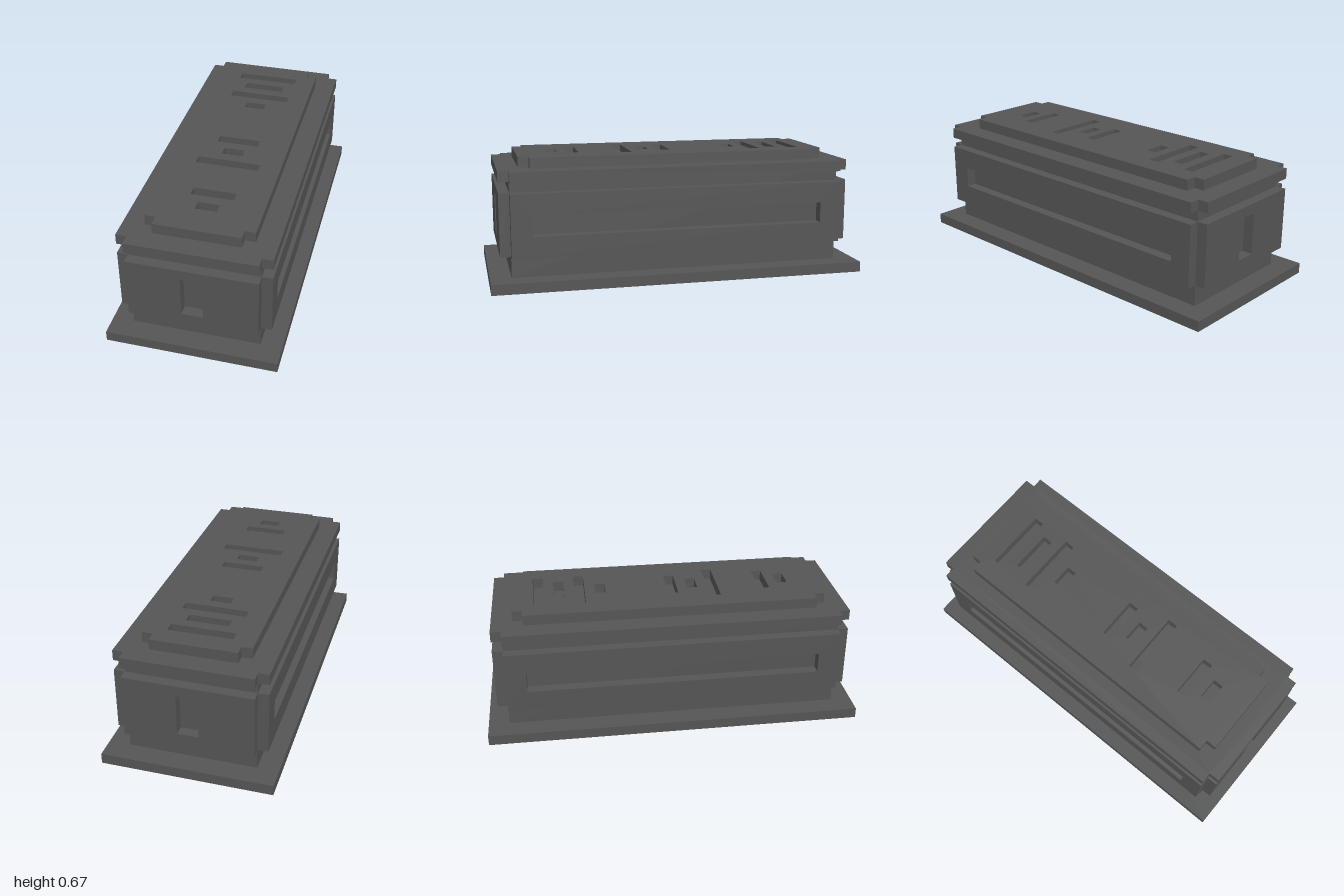
import * as THREE from 'three';

const U = 1 / 18; // one modelling unit; the base is 36 units long

export function createModel() {
  const stone = new THREE.MeshStandardMaterial({ color: 0x555555 });
  stone.name = 'darkStone';
  const group = new THREE.Group();
  group.name = 'sarcophagus';

  const add = (name, geometry, parent = group) => {
    const mesh = new THREE.Mesh(geometry, stone);
    mesh.name = name;
    parent.add(mesh);
    return mesh;
  };

  // Solid block standing on height y
  const block = (name, w, h, d, y) => {
    add(name, new THREE.BoxGeometry(w * U, h * U, d * U)).position.y = (y + h / 2) * U;
  };

  const outline = (points) => points.map(([x, y]) => new THREE.Vector2(x * U, y * U));
  const rect = (x0, y0, x1, y1) => outline([[x0, y0], [x1, y0], [x1, y1], [x0, y1]]);

  // Rectangle of half size a by b with a one-unit notch at each corner
  const notched = (a, b) => outline([
    [-a + 1, -b], [a - 1, -b], [a - 1, -b + 1], [a, -b + 1],
    [a, b - 1], [a - 1, b - 1], [a - 1, b], [-a + 1, b],
    [-a + 1, b - 1], [-a, b - 1], [-a, -b + 1], [-a + 1, -b + 1],
  ]);

  // One-unit-thick plate with cut-through openings
  const plate = (points, holes = []) => {
    const shape = new THREE.Shape(points);
    holes.forEach((h) => shape.holes.push(new THREE.Path(h.slice().reverse())));
    return new THREE.ExtrudeGeometry(shape, { depth: U, bevelEnabled: false });
  };

  // Plinth and body core
  block('base', 16, 1, 36, 0);
  block('body', 12, 10, 32, 1);

  // Raised panels with recessed openings on all four sides
  const endPanel = plate(rect(-6, 3, 6, 9), [rect(-1, 4, 1, 8)]);
  const sidePanel = plate(rect(-16, 3, 16, 9), [rect(-14, 5, 14, 7)]);
  [['frontPanel', endPanel, 16], ['leftPanel', sidePanel, 6],
    ['backPanel', endPanel, 16], ['rightPanel', sidePanel, 6]].forEach(([name, geometry, offset], i) => {
    const mesh = add(name, geometry);
    mesh.rotation.y = i * Math.PI / 2;
    mesh.position.set(Math.sin(mesh.rotation.y) * offset * U, 0, Math.cos(mesh.rotation.y) * offset * U);
  });

  // Lid rim, with notched corners
  const rim = add('lidRim', plate(notched(7, 17)));
  rim.rotation.x = -Math.PI / 2;
  rim.position.y = 10 * U;

  // Lid top with carved slots: [start z, half width]
  const slots = [[-13, 3], [-11, 2], [-9, 3], [-7, 1], [0, 2], [2, 1], [4, 3], [9, 2], [11, 1]];
  const lid = add('lidTop', plate(notched(5, 15), slots.map(([z, w]) => rect(-w, -z - 1, w, -z))));
  lid.rotation.x = -Math.PI / 2;
  lid.position.y = 11 * U;

  return group;
}
